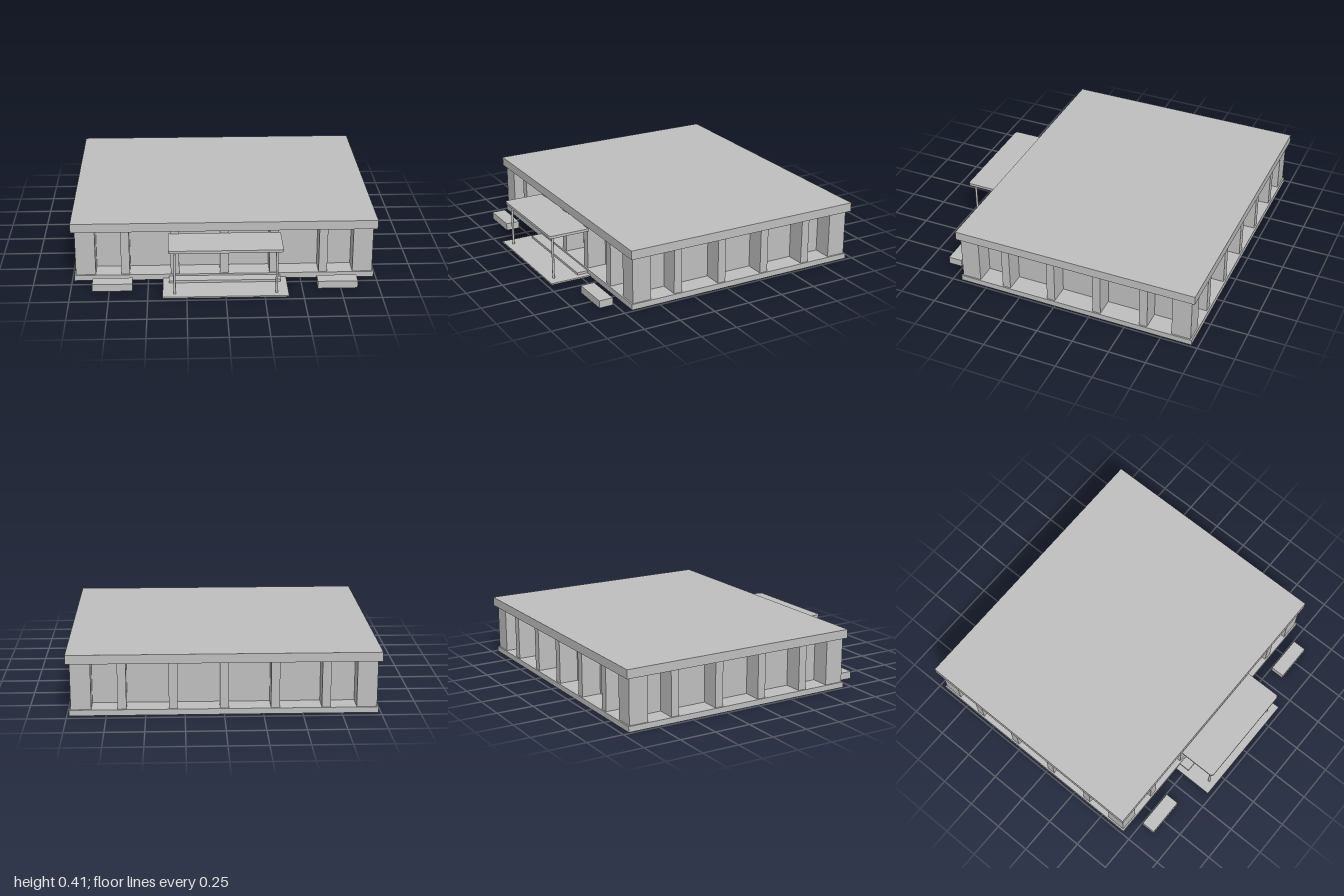
import * as THREE from 'three';

export function createModel() {
  const model = new THREE.Group();
  const concrete = new THREE.MeshStandardMaterial({ color: 0xbfbfbf });
  concrete.name = 'pale concrete grey';

  // Box given by its limits on each axis
  function block(name, x0, x1, y0, y1, z0, z1, parent = model) {
    const mesh = new THREE.Mesh(new THREE.BoxGeometry(x1 - x0, y1 - y0, z1 - z0), concrete);
    mesh.position.set((x0 + x1) / 2, (y0 + y1) / 2, (z0 + z1) / 2);
    mesh.name = name;
    parent.add(mesh);
    return mesh;
  }

  const floorY = 0.038, ceilingY = 0.347;
  const side = 0.975, front = 0.68, back = -0.945; // outer faces of the pillars
  const recess = 0.13, half = 0.028;

  // Base, recessed walls and flat roof
  block('base', -0.985, 0.985, 0, floorY, -0.955, 0.69);
  block('recessedWalls', -side + recess, side - recess, floorY, ceilingY, back + recess, front - recess);
  block('roof', -1, 1, ceilingY, 0.407, -0.97, 0.7);

  // Square corner pillars and fins along all four sides
  const pillars = new THREE.Group();
  pillars.name = 'pillars';
  model.add(pillars);
  for (const s of [-1, 1]) {
    const xs = [s * side, s * (side - recess)].sort((a, b) => a - b);
    block('cornerPillar', ...xs, floorY, ceilingY, front - recess, front, pillars);
    block('cornerPillar', ...xs, floorY, ceilingY, back, back + recess, pillars);
    for (let i = 0; i < 4; i++) {
      const z = 0.355 - i * 0.325;
      block('sidePillar', ...xs, floorY, ceilingY, z - half, z + half, pillars);
    }
  }
  for (let i = -2; i <= 2; i++) {
    const x = i * 0.325;
    block('frontPillar', x - half, x + half, floorY, ceilingY, front - recess, front, pillars);
    block('backPillar', x - half, x + half, floorY, ceilingY, back, back + recess, pillars);
  }

  // Entrance slab and step
  block('entranceSlab', -0.405, 0.405, 0, 0.01, 0.69, 0.97);
  block('entranceStep', -0.365, 0.365, 0.01, 0.026, 0.69, 0.765);

  // Canopy with rounded front corners
  const w = 0.367, zBack = 0.675, zFront = 0.955, r = 0.02;
  const plan = new THREE.Shape();
  plan.moveTo(-w, -zBack);
  plan.lineTo(-w, -zFront + r);
  plan.absarc(-w + r, -zFront + r, r, Math.PI, Math.PI * 1.5, false);
  plan.absarc(w - r, -zFront + r, r, Math.PI * 1.5, Math.PI * 2, false);
  plan.lineTo(w, -zBack);
  const canopy = new THREE.Mesh(
    new THREE.ExtrudeGeometry(plan, { depth: 0.018, bevelEnabled: false, curveSegments: 6 }), concrete);
  canopy.rotation.x = -Math.PI / 2;
  canopy.position.y = 0.305;
  canopy.name = 'canopy';
  model.add(canopy);

  // Canopy posts and benches, mirrored left and right
  for (const s of [-1, 1]) {
    const post = new THREE.Mesh(new THREE.CylinderGeometry(0.008, 0.008, 0.296, 16), concrete);
    post.position.set(s * 0.328, 0.158, 0.92);
    post.name = 'canopyPost';
    model.add(post);
    block('bench', s * 0.73 - 0.13, s * 0.73 + 0.13, 0, 0.05, 0.76, 0.855);
  }
  return model;
}
